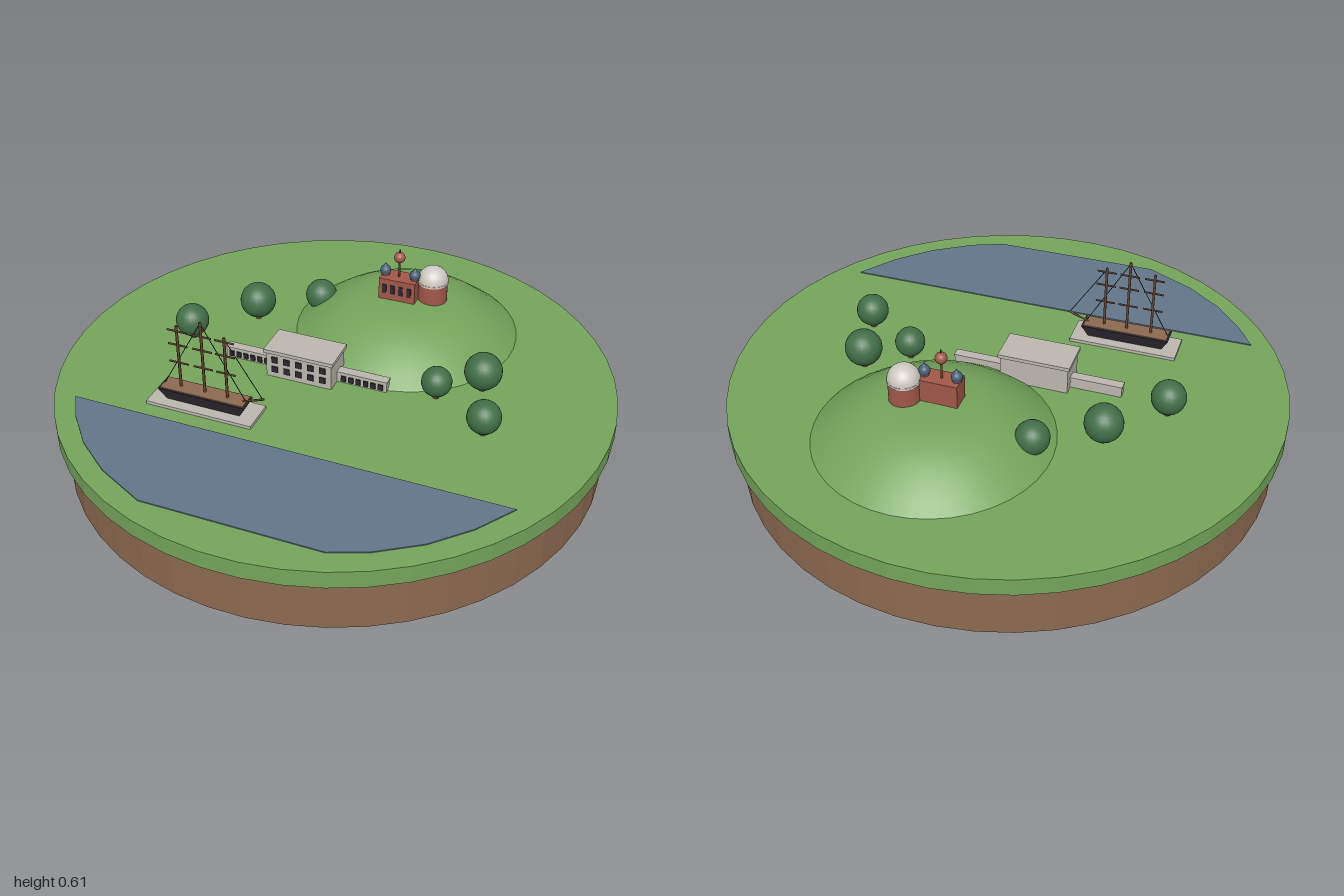
import * as THREE from 'three';

const paint = (name, color, extra = {}) => {
  const m = new THREE.MeshStandardMaterial({ color, ...extra });
  m.name = name;
  return m;
};

export function createModel() {
  const grass = paint('grass', 0x74a45a), earth = paint('earth', 0x8c6a50);
  grass.flatShading = earth.flatShading = true;
  const hillGrass = grass.clone();
  hillGrass.flatShading = false;
  const water = paint('water', 0x62768a), leaf = paint('leaf', 0x426f48);
  const stone = paint('stone', 0xbcb8ae), dark = paint('dark', 0x2c2a32);
  const timber = paint('timber', 0x68442f), brick = paint('brick', 0xa2584a);
  const domeWhite = paint('domeWhite', 0xcfcac2), blue = paint('blue', 0x46607a);

  const model = new THREE.Group();
  const add = (parent, name, geo, mat, x = 0, y = 0, z = 0) => {
    const m = new THREE.Mesh(geo, mat);
    m.name = name;
    m.position.set(x, y, z);
    parent.add(m);
    return m;
  };
  const box = (p, name, mat, w, h, d, x, y, z) =>
    add(p, name, new THREE.BoxGeometry(w, h, d), mat, x, y, z);
  const cyl = (p, name, mat, r0, r1, h, x, y, z, n = 12) =>
    add(p, name, new THREE.CylinderGeometry(r1, r0, h, n), mat, x, y, z);
  const ball = (p, name, mat, r, x, y, z) =>
    add(p, name, new THREE.SphereGeometry(r, 20, 14), mat, x, y, z);
  // thin rod between two points
  const rod = (p, name, mat, r, a, b) => {
    const from = new THREE.Vector3(...a), to = new THREE.Vector3(...b);
    const dir = to.clone().sub(from);
    const m = cyl(p, name, mat, r, r, dir.length(), 0, 0, 0, 6);
    m.position.copy(from).add(to).multiplyScalar(0.5);
    m.quaternion.setFromUnitVectors(new THREE.Vector3(0, 1, 0), dir.normalize());
    return m;
  };
  const site = (name, x, y, z) => {
    const g = new THREE.Group();
    g.name = name;
    g.position.set(x, y, z);
    g.rotation.y = -THREE.MathUtils.degToRad(20);
    model.add(g);
    return g;
  };

  // Island disc
  const G = 0.265;
  cyl(model, 'earthBase', earth, 0.97, 0.97, 0.2, 0, 0.1, 0, 48);
  cyl(model, 'grassDisc', grass, 1, 1, G - 0.2, 0, (G + 0.2) / 2, 0, 48);

  // River inlet
  const bank = [[-0.91, 0.165], [-0.885, 0.28], [-0.83, 0.42], [-0.74, 0.56], [-0.6, 0.705],
    [0, 0.92], [0.13, 0.915], [0.3, 0.875], [0.45, 0.805], [0.585, 0.71]];
  const river = new THREE.Shape(bank.map(([x, z]) => new THREE.Vector2(x, -z)));
  const riverGeo = new THREE.ExtrudeGeometry(river, { depth: 0.006, bevelEnabled: false });
  riverGeo.rotateX(-Math.PI / 2);
  add(model, 'river', riverGeo, water, 0, G - 0.002, 0);

  // Hill
  const hill = [[0.42, 0], [0.412, 0.008], [0.37, 0.04], [0.33, 0.07], [0.28, 0.1], [0.23, 0.124],
    [0.17, 0.141], [0.1, 0.147], [0, 0.149]].map(([r, y]) => new THREE.Vector2(r, y));
  add(model, 'hill', new THREE.LatheGeometry(hill, 40), hillGrass, 0.258, G - 0.002, -0.32);

  // Round trees
  [[-0.545, -0.235, 0.062], [-0.31, -0.375, 0.068], [-0.07, -0.435, 0.06],
    [0.52, 0.075, 0.068], [0.355, 0.125, 0.055], [0.505, 0.33, 0.06]].forEach(([x, z, r]) => {
    cyl(model, 'treeTrunk', timber, 0.012, 0.01, 0.05, x, G + 0.02, z, 8);
    ball(model, 'treeCrown', leaf, r, x, G + 0.012 + r, z);
  });

  // Mansion with two low wings
  const house = site('mansion', -0.11, G, -0.008);
  box(house, 'mainBlock', stone, 0.25, 0.1, 0.125, 0, 0.05, 0);
  box(house, 'mainRoof', stone, 0.265, 0.014, 0.14, 0, 0.107, 0);
  for (let i = 0; i < 5; i++)
    for (const y of [0.033, 0.073])
      box(house, 'mainWindow', dark, 0.023, 0.024, 0.006, (i - 2) * 0.046, y, 0.0635);
  for (const s of [-1, 1]) {
    box(house, 'wing', stone, 0.19, 0.036, 0.03, s * 0.217, 0.018, -0.009);
    box(house, 'wingRoof', stone, 0.195, 0.008, 0.036, s * 0.217, 0.04, -0.009);
    for (let i = 0; i < 6; i++)
      box(house, 'wingWindow', dark, 0.018, 0.022, 0.006, s * (0.15 + i * 0.028), 0.018, 0.008);
  }

  // Dock slab and three-masted ship
  const ship = site('sailingShip', -0.445, G, 0.203);
  box(ship, 'dockSlab', stone, 0.4, 0.012, 0.128, 0, 0.006, 0);
  const hullGeo = new THREE.BoxGeometry(0.33, 0.048, 0.076);
  const p = hullGeo.attributes.position;
  for (let i = 0; i < p.count; i++)
    if (p.getY(i) < 0) p.setXYZ(i, p.getX(i) * 0.84, p.getY(i), p.getZ(i) * 0.6);
  hullGeo.computeVertexNormals();
  add(ship, 'hull', hullGeo, dark, 0, 0.034, 0);
  box(ship, 'deck', earth, 0.316, 0.006, 0.066, 0, 0.059, 0);
  rod(ship, 'bowsprit', timber, 0.004, [0.14, 0.058, 0], [0.225, 0.09, 0]);
  const tops = [[-0.092, 0.31], [0, 0.345], [0.086, 0.305]];
  tops.forEach(([x, h]) => {
    rod(ship, 'mast', timber, 0.005, [x, 0.05, 0], [x, h, 0]);
    for (const y of [0.16, 0.232, 0.288])
      rod(ship, 'yard', timber, 0.0035, [x - 0.036, y, 0], [x + 0.036, y, 0]);
  });
  rod(ship, 'foreStay', dark, 0.0015, [0, 0.34, 0], [0.155, 0.062, 0]);
  rod(ship, 'backStay', dark, 0.0015, [0, 0.34, 0], [-0.155, 0.062, 0]);
  rod(ship, 'jibStay', dark, 0.0015, [0.086, 0.3, 0], [0.22, 0.088, 0]);

  // Observatory on the hilltop
  const obs = site('observatory', 0.228, 0.405, -0.312);
  box(obs, 'brickHall', brick, 0.14, 0.09, 0.075, 0, 0.045, 0);
  for (let i = 0; i < 4; i++)
    box(obs, 'hallWindow', dark, 0.016, 0.036, 0.006, (i - 1.5) * 0.032, 0.05, 0.0385);
  for (const s of [-1, 1]) {
    cyl(obs, 'turret', brick, 0.016, 0.016, 0.016, s * 0.057, 0.095, 0);
    ball(obs, 'turretDome', blue, 0.02, s * 0.057, 0.107, 0);
    cyl(obs, 'turretTip', blue, 0.013, 0, 0.022, s * 0.057, 0.129, 0);
  }
  cyl(obs, 'signalPole', timber, 0.004, 0.004, 0.1, -0.004, 0.137, 0, 8);
  ball(obs, 'signalBall', brick, 0.021, -0.004, 0.17, 0);
  cyl(obs, 'poleTip', timber, 0.003, 0.003, 0.02, -0.004, 0.193, 0, 6);

  // Round dome beside the hall
  cyl(model, 'domeDrum', brick, 0.055, 0.055, 0.08, 0.35, 0.445, -0.305, 28);
  cyl(model, 'domeRing', domeWhite, 0.058, 0.058, 0.008, 0.35, 0.484, -0.305, 28);
  add(model, 'dome', new THREE.SphereGeometry(0.057, 28, 10, 0, Math.PI * 2, 0, Math.PI / 2),
    domeWhite, 0.35, 0.486, -0.305);
  return model;
}
